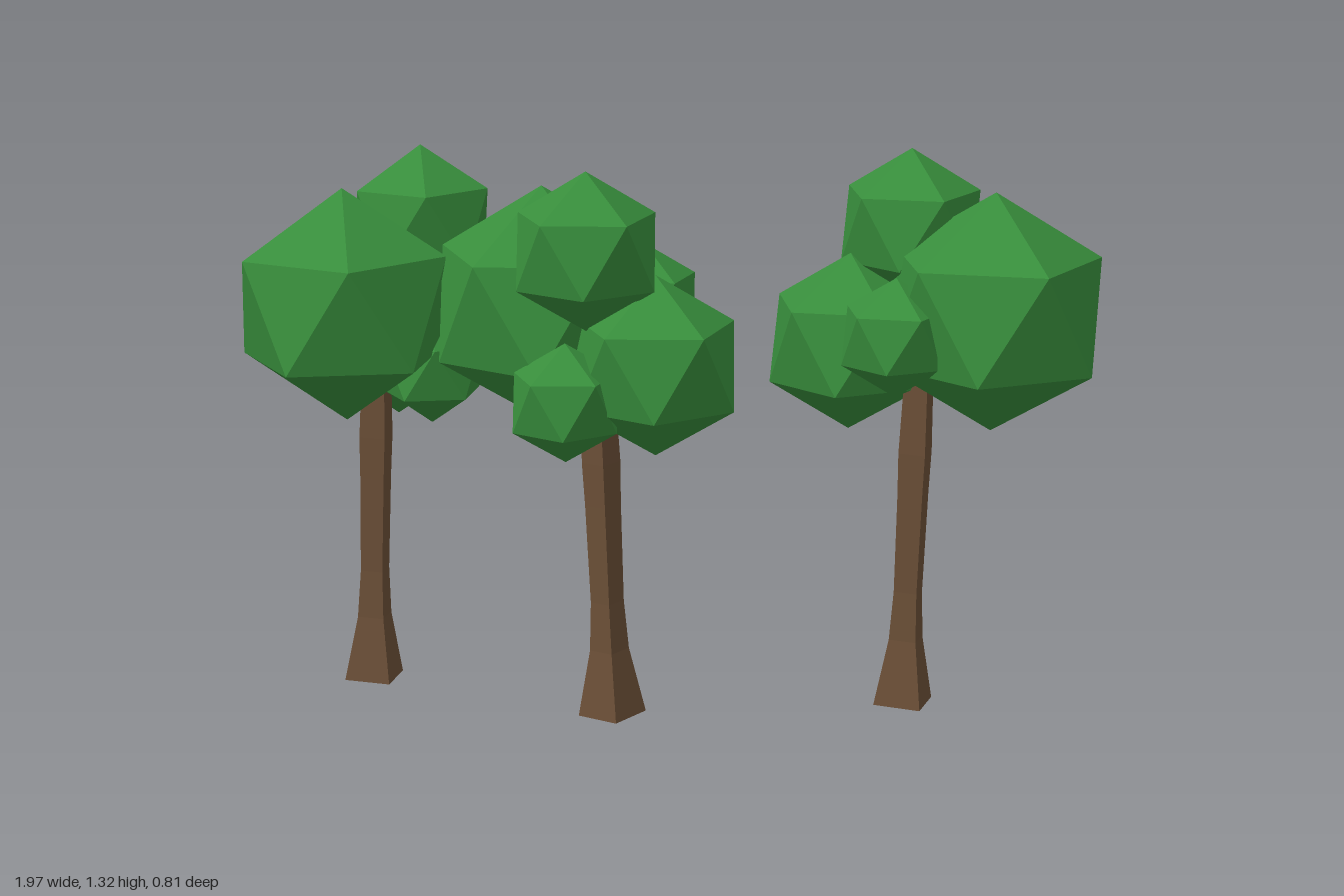
import * as THREE from 'three';

const leaves = new THREE.MeshStandardMaterial({ color: 0x388e3c, flatShading: true });
leaves.name = 'leaf green';
const bark = new THREE.MeshStandardMaterial({ color: 0x6b4f37, flatShading: true });
bark.name = 'bark brown';

// Trunk outline from the flared foot to the crown: [radius, height]
const TRUNK = [[0, 0], [0.078, 0], [0.045, 0.155], [0.038, 0.27], [0.041, 0.5], [0.044, 0.6], [0.036, 0.85], [0, 0.85]]
  .map(([r, y]) => new THREE.Vector2(r, y));

// Foliage sizes shared by every tree: main, top, side and two small clumps
const RADII = [0.272, 0.178, 0.205, 0.135, 0.135];

const TREES = [
  {
    name: 'leftTree', base: [-0.72, 0.008, -0.085], trunkYaw: 0, lean: -0.03, leafYaw: 15,
    clumps: [[-0.72, 0.955, 0.07], [-0.59, 1.125, -0.12], [-0.69, 0.835, -0.23], [-0.86, 0.9, -0.11], [-0.56, 0.785, -0.08]],
  },
  {
    name: 'middleTree', base: [-0.075, 0.033, 0.125], trunkYaw: -25, lean: 0.04, leafYaw: -12,
    clumps: [[-0.255, 0.975, 0.045], [-0.1, 1.14, 0.25], [0.045, 0.88, 0.2], [-0.14, 0.805, 0.285], [-0.03, 0.98, -0.01]],
  },
  {
    name: 'rightTree', base: [0.57, 0.044, -0.08], trunkYaw: -6, lean: -0.03, leafYaw: 0,
    clumps: [[0.76, 0.98, -0.065], [0.55, 1.145, -0.2], [0.425, 0.885, -0.125], [0.56, 0.94, 0.065], [0.57, 0.86, -0.25]],
  },
];

// Icosahedron standing on a vertex, turned by a yaw in degrees
function clumpGeometry(radius, yaw) {
  return new THREE.IcosahedronGeometry(radius, 0)
    .rotateX(-Math.atan((1 + Math.sqrt(5)) / 2))
    .rotateY(Math.PI - THREE.MathUtils.degToRad(yaw));
}

function makeTree({ name, base, trunkYaw, lean, leafYaw, clumps }) {
  const tree = new THREE.Group();
  tree.name = name;

  // Four-sided trunk
  const trunkGeometry = new THREE.LatheGeometry(TRUNK, 4)
    .rotateY(Math.PI / 4 + THREE.MathUtils.degToRad(trunkYaw));
  const trunk = new THREE.Mesh(trunkGeometry, bark);
  trunk.name = 'trunk';
  trunk.position.set(...base);
  trunk.rotation.z = lean;
  tree.add(trunk);

  // Faceted leaf clumps
  clumps.forEach((position, i) => {
    const clump = new THREE.Mesh(clumpGeometry(RADII[i], leafYaw), leaves);
    clump.name = 'leafClump' + (i + 1);
    clump.position.set(...position);
    tree.add(clump);
  });
  return tree;
}

export function createModel() {
  const model = new THREE.Group();
  model.name = 'trees';
  TREES.forEach((spec) => model.add(makeTree(spec)));
  return model;
}
